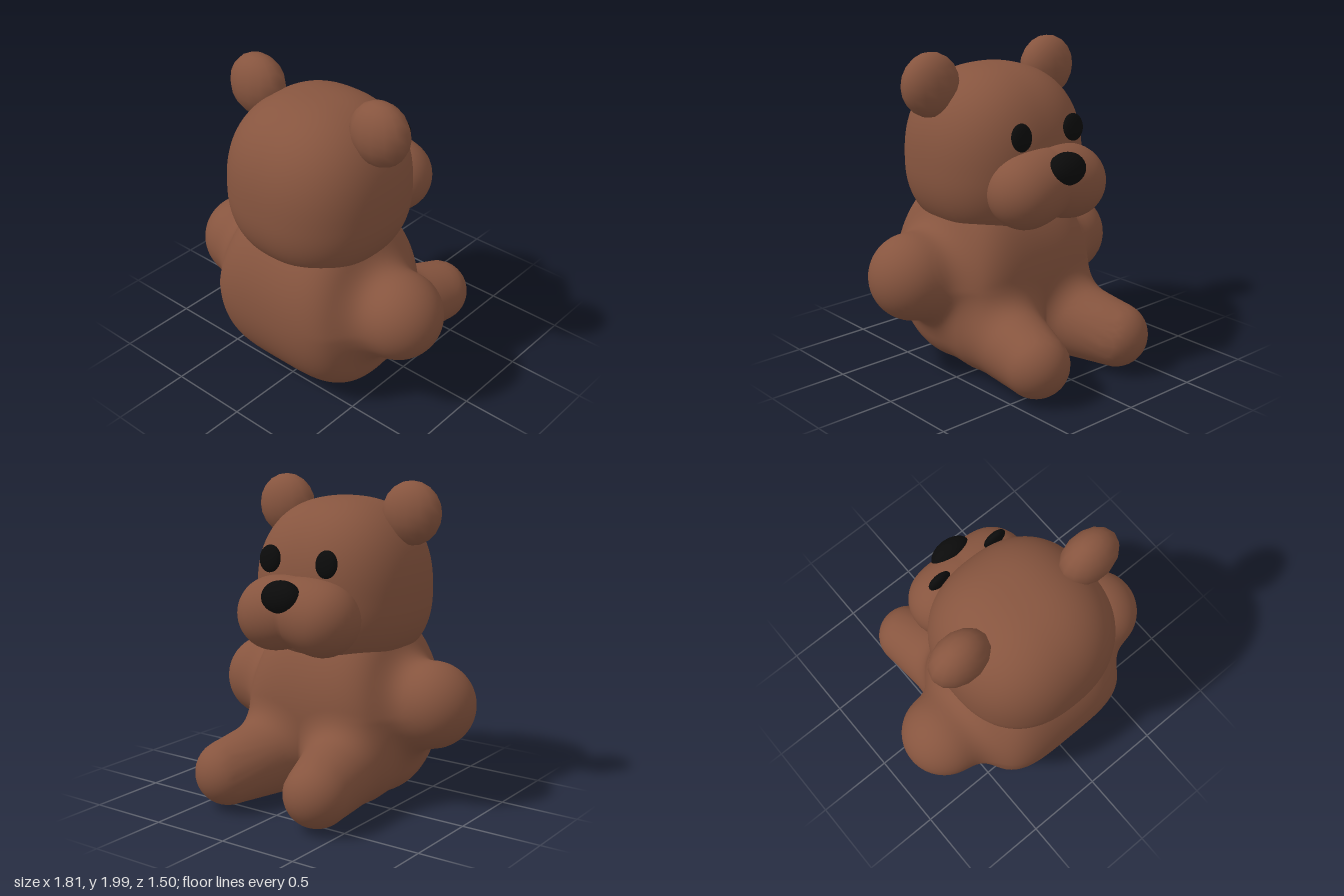
import * as THREE from 'three';
import { mergeVertices } from 'three/addons/utils/BufferGeometryUtils.js';

const fur = new THREE.MeshStandardMaterial({ color: 0x87553f });
const black = new THREE.MeshStandardMaterial({ color: 0x0b0b0b });
const V = (x, y, z) => new THREE.Vector3(x, y, z);

// Distance to a capsule whose radius tapers from ra to rb
function capsule(p, a, b, ra, rb) {
  const ab = b.clone().sub(a);
  const t = THREE.MathUtils.clamp(p.clone().sub(a).dot(ab) / ab.lengthSq(), 0, 1);
  return p.distanceTo(a.clone().addScaledVector(ab, t)) - (ra + (rb - ra) * t);
}

// Torso: oval from the side, squarish across, narrowing to the shoulders
function torsoField(p) {
  const y = p.y - 0.6;
  const halfWidth = 0.53 - 0.2 * THREE.MathUtils.clamp(y, 0, 0.5);
  const oval = Math.abs(y / (y > 0 ? 0.62 : 0.585)) ** 2.1 + Math.abs((p.z - 0.24) / 0.51) ** 2.1;
  const s = (Math.abs(p.x / halfWidth) ** 4 + oval ** (4 / 2.1)) ** 0.25;
  return (s - 1) * 0.5;
}

// Soft union of two distances
function blend(a, b, k) {
  const h = Math.max(k - Math.abs(a - b), 0) / k;
  return Math.min(a, b) - h * h * k / 4;
}

// Sphere whose vertices are moved along their directions by a rule
function shapedSphere(detail, rule) {
  let g = new THREE.IcosahedronGeometry(1, detail);
  g.deleteAttribute('normal');
  g.deleteAttribute('uv');
  g = mergeVertices(g, 1e-5);
  const pos = g.attributes.position, d = new THREE.Vector3();
  for (let i = 0; i < pos.count; i++) {
    const p = rule(d.fromBufferAttribute(pos, i).normalize());
    pos.setXYZ(i, p.x, p.y, p.z);
  }
  g.computeVertexNormals();
  return g;
}

// Shrink-wrap a sphere on to a distance field, symmetric in x
function wrap(detail, centre, reach, field) {
  return shapedSphere(detail, (d) => {
    let t = reach;
    const p = V(0, 0, 0), q = V(0, 0, 0);
    for (let i = 0; i < 90; i++) {
      p.copy(centre).addScaledVector(d, t);
      const dist = field(q.set(Math.abs(p.x), p.y, p.z));
      if (Math.abs(dist) < 1e-4) break;
      t = Math.max(t - dist * 0.8, 0.02);
    }
    return p;
  });
}

export function createModel() {
  const group = new THREE.Group();
  const add = (name, geometry, material, x = 0, y = 0, z = 0) => {
    const m = new THREE.Mesh(geometry, material);
    m.name = name;
    m.position.set(x, y, z);
    group.add(m);
    return m;
  };

  // Torso, arms and legs flow into one skin
  const body = (p) => {
    const arm = capsule(p, V(0.3, 0.6, 0.24), V(0.635, 0.645, 0.24), 0.26, 0.27);
    const leg = capsule(p, V(0.25, 0.285, -0.12), V(0.337, 0.237, -0.545), 0.26, 0.203);
    return blend(blend(torsoField(p), arm, 0.16), leg, 0.14);
  };
  add('body', wrap(36, V(0, 0.42, 0.1), 1.6, body), fur);

  // Head: squarish egg, flatter below
  const e = 2.4;
  add('head', shapedSphere(18, (d) => {
    const ry = d.y > 0 ? 0.585 : 0.49;
    const s = Math.abs(d.x / 0.525) ** e + Math.abs(d.y / ry) ** e + Math.abs(d.z / 0.515) ** e;
    return d.clone().multiplyScalar(s ** (-1 / e));
  }), fur, 0, 1.3, 0.22);

  // Two-lobed muzzle
  const muzzle = (p) => {
    const lobe = p.distanceTo(V(0.18, 1.205, -0.27)) - 0.228;
    return blend(lobe, p.distanceTo(V(0, 1.245, -0.275)) - 0.195, 0.12);
  };
  add('muzzle', wrap(12, V(0, 1.21, -0.26), 0.7, muzzle), fur);

  // Nose
  const nose = add('nose', new THREE.SphereGeometry(1, 20, 14), black, 0, 1.345, -0.44);
  nose.scale.set(0.135, 0.1, 0.083);
  nose.rotation.x = 0.35;

  // Eyes and ears in pairs
  for (const s of [1, -1]) {
    const side = s > 0 ? 'left' : 'right';
    const eye = add(side + 'Eye', new THREE.SphereGeometry(1, 18, 12), black, s * 0.208, 1.535, -0.275);
    eye.scale.set(0.076, 0.084, 0.033);
    eye.rotation.x = 0.15;
    const ear = add(side + 'Ear', new THREE.SphereGeometry(1, 14, 10), fur, s * 0.468, 1.805, 0.24);
    ear.scale.set(0.193, 0.195, 0.138);
  }
  return group;
}
